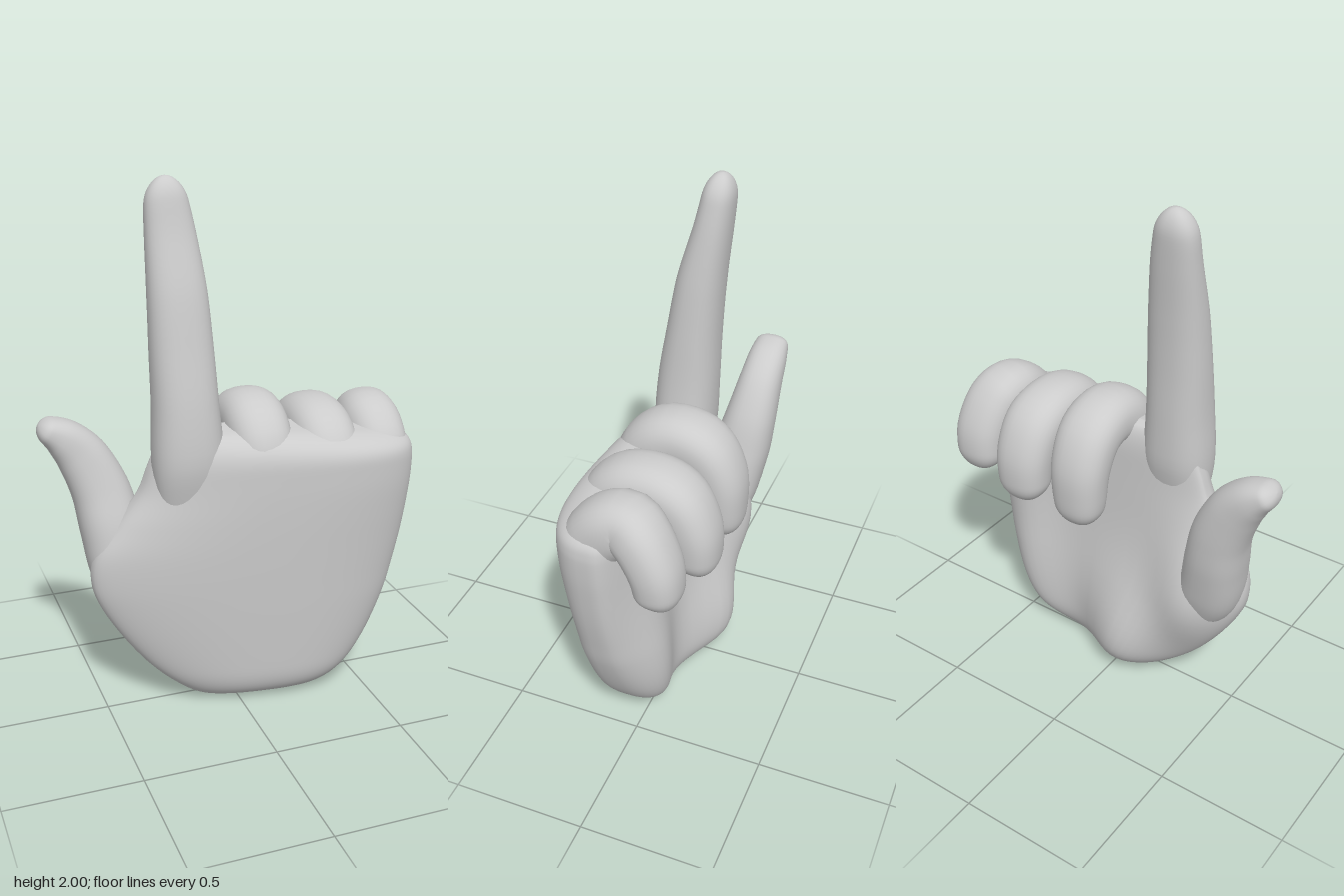
import * as THREE from 'three';

const V = (x, y, z) => new THREE.Vector3(x, y, z);
const material = new THREE.MeshStandardMaterial({ color: 0xcccccc });
const bump = (v, centre, width) => Math.exp(-(((v - centre) / width) ** 2));
const rounded = (v, power) => Math.sign(v) * Math.abs(v) ** power;
// Depth of the bowed front surface across the hand
const frontDepth = x => 0.222 + 0.165 * x - 0.05 * x * x;

// Skin a list of closed rings with smooth normals
function loft(name, rings) {
  const n = rings[0].length, positions = [], index = [];
  rings.forEach(ring => ring.forEach(p => positions.push(p.x, p.y, p.z)));
  for (let j = 0; j < rings.length - 1; j++) {
    for (let i = 0; i < n; i++) {
      const a = j * n + i, b = j * n + (i + 1) % n;
      index.push(a, a + n, b, b, a + n, b + n);
    }
  }
  const geometry = new THREE.BufferGeometry();
  geometry.setAttribute('position', new THREE.Float32BufferAttribute(positions, 3));
  geometry.setIndex(index);
  geometry.computeVertexNormals();
  const mesh = new THREE.Mesh(geometry, material);
  mesh.name = name;
  return mesh;
}

// Tapered finger with a rounded tip; each point is [x, y, z, halfWidth, halfDepth]
function finger(name, points, tipLength, steps = 48, sides = 32) {
  const path = new THREE.CatmullRomCurve3(points.map(p => V(p[0], p[1], p[2])));
  const radii = new THREE.CatmullRomCurve3(points.map(p => V(p[3], p[4], 0)));
  const capStart = 1 - tipLength / path.getLength();
  const rings = [];
  for (let j = 0; j <= steps; j++) {
    // Rings crowd together towards the tip
    const u = 1 - (1 - j / steps) ** 1.7;
    const centre = path.getPointAt(u), tangent = path.getTangentAt(u);
    const size = radii.getPoint(path.getUtoTmapping(u));
    const k = Math.max(0, (u - capStart) / (1 - capStart));
    const cap = Math.max(0.001, Math.sqrt(Math.max(0, 1 - k ** 2.2)));
    const side = V(1, 0, 0).addScaledVector(tangent, -tangent.x).normalize();
    const normal = side.clone().cross(tangent);
    rings.push(Array.from({ length: sides }, (_, i) => {
      const a = i / sides * Math.PI * 2;
      return centre.clone()
        .addScaledVector(side, rounded(Math.cos(a), 0.86) * size.x * cap)
        .addScaledVector(normal, rounded(Math.sin(a), 0.86) * size.y * cap);
    }));
  }
  return loft(name, rings);
}

// Palm: bowed back of the hand, hollow between the mounds behind
function palm() {
  // [left edge, height, right edge]
  const outline = new THREE.CatmullRomCurve3([
    [-0.03, 0, 0.25], [-0.14, 0.018, 0.34], [-0.25, 0.09, 0.435], [-0.36, 0.2, 0.515],
    [-0.495, 0.4, 0.6], [-0.54, 0.52, 0.63], [-0.53, 0.64, 0.655], [-0.45, 0.76, 0.673],
    [-0.36, 0.88, 0.685], [-0.32, 0.98, 0.685], [-0.29, 1.05, 0.67], [-0.26, 1.115, 0.61],
  ].map(p => V(...p)));
  const steps = 72, sides = 72, rings = [];
  for (let j = 0; j <= steps; j++) {
    const { x: xl, y, z: xr } = outline.getPoint(j / steps);
    const low = Math.min(1, Math.max(0, 1 - y / 0.17));
    const high = Math.min(1, Math.max(0, (y - 0.955) / 0.16));
    const close = ((1 - low ** 3) * (1 - high ** 3)) ** 0.42;
    rings.push(Array.from({ length: sides }, (_, i) => {
      const a = i / sides * Math.PI * 2, s = Math.sin(a);
      const x = (xl + xr) / 2 + (xr - xl) / 2 * rounded(Math.cos(a), 0.8);
      const middle = 0.03 + 0.07 * x;
      const front = frontDepth(x) - 0.06 * Math.max(0, 1 - y / 0.9) ** 1.5;
      const back = -0.035
        - 0.15 * bump(x, -0.37, 0.19) * bump(y, 0.46, 0.3)
        - 0.115 * bump(x, 0.47, 0.17) * bump(y, 0.2, 0.5)
        - 0.15 * bump(x, -0.06, 0.2) * bump(y, 0.16, 0.3);
      const z = middle + ((s > 0 ? front : back) - middle) * Math.abs(s) ** 0.74 * close;
      // The knuckle line drops towards the little finger
      return V(x, y - 0.1 * high * Math.max(0, x - 0.1), z);
    }));
  }
  return loft('palm', rings);
}

export function createModel() {
  const hand = new THREE.Group();
  hand.name = 'pointingHand';
  hand.add(palm());

  // Raised index finger
  hand.add(finger('indexFinger', [
    [-0.17, 0.65, 0.05, 0.08, 0.04], [-0.175, 0.85, 0.064, 0.125, 0.082],
    [-0.185, 1.02, 0.064, 0.132, 0.114],
    [-0.19, 1.2, 0.055, 0.121, 0.111], [-0.195, 1.4, 0.036, 0.115, 0.097],
    [-0.2, 1.6, 0.012, 0.107, 0.085], [-0.21, 1.8, -0.025, 0.091, 0.066],
    [-0.217, 1.9, -0.04, 0.08, 0.059], [-0.22, 2.0, -0.052, 0.06, 0.05],
  ], 0.085));

  // Thumb leaning outwards to a slim tip
  hand.add(finger('thumb', [
    [-0.25, 0.3, 0, 0.04, 0.05], [-0.35, 0.43, -0.02, 0.1, 0.09],
    [-0.41, 0.56, -0.045, 0.12, 0.11], [-0.445, 0.73, -0.075, 0.115, 0.113],
    [-0.475, 0.87, -0.1, 0.107, 0.1], [-0.535, 1.0, -0.115, 0.094, 0.085],
    [-0.6, 1.075, -0.12, 0.073, 0.076], [-0.685, 1.13, -0.12, 0.036, 0.06],
  ], 0.035));

  // Curled fingers: over the knuckle and down the back
  const curled = [
    // name, x at knuckle, x at tip, front depth, lift, reach, tip height, half width
    ['middleFinger', 0.085, 0.085, 0.228, 0, 0, 0.73, 0.116],
    ['ringFinger', 0.335, 0.345, 0.26, -0.045, 0, 0.74, 0.116],
    ['littleFinger', 0.555, 0.59, 0.225, -0.05, 0.045, 0.77, 0.11],
  ];
  for (const [name, x0, x1, front, lift, reach, tip, w] of curled) {
    hand.add(finger(name, [
      [x0 - 0.01, 0.72, front - 0.16, w * 0.6, 0.07],
      [x0, 0.9, front - 0.135, w * 0.85, 0.1],
      [x0, 1.01 + lift, front - 0.122, w * 0.98, 0.115],
      [x0, 1.085 + lift, front - 0.18, w * 1.02, 0.115],
      [x0, 1.113 + lift, -0.02, w, 0.107],
      [(x0 + x1) / 2, 1.085 + lift, -0.115 + reach, w, 0.1],
      [x1, 0.98 + lift, -0.177 + reach, w * 0.96, 0.092],
      [x1, 0.85 + lift / 2, -0.19 + reach, w * 0.88, 0.084],
      [x1, tip, -0.185 + reach, w * 0.72, 0.072],
    ], 0.09));
  }
  return hand;
}
